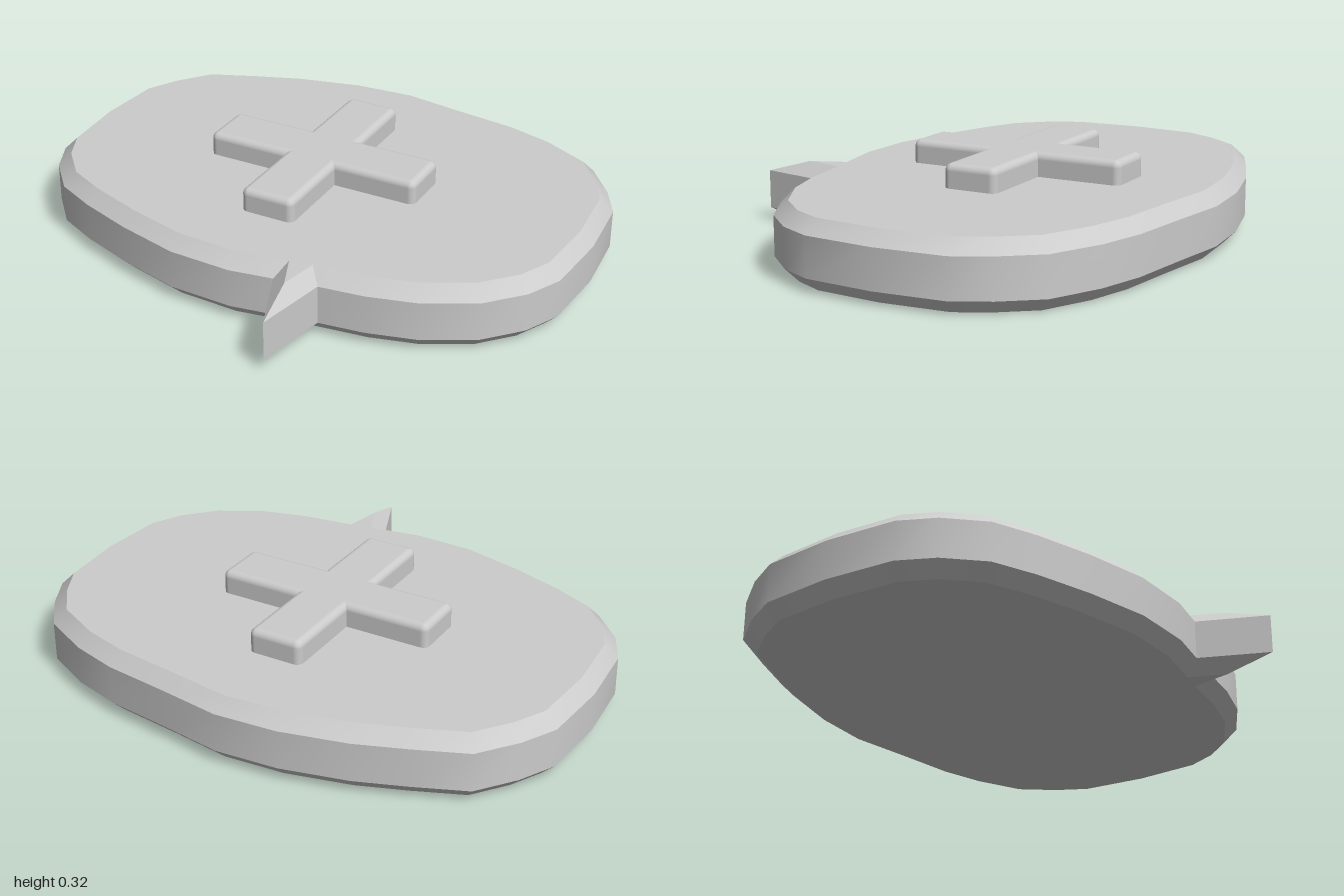
import * as THREE from 'three';
import { toCreasedNormals } from 'three/addons/utils/BufferGeometryUtils.js';
import { RoundedBoxGeometry } from 'three/addons/geometries/RoundedBoxGeometry.js';

// Outline as [x, z], running from the back over -x to the front tail and over +x.
const OUTLINE = [
  [0, -0.825], [-0.225, -0.81], [-0.46, -0.755], [-0.635, -0.69], [-0.815, -0.615],
  [-0.915, -0.485], [-0.98, -0.36], [-1, -0.105], [-0.98, 0.15], [-0.92, 0.275],
  [-0.81, 0.395], [-0.66, 0.465], [-0.46, 0.535], [-0.23, 0.595], [0, 0.605],
  [0.155, 0.58], [0.255, 0.82], [0.305, 0.555],
  [0.465, 0.535], [0.635, 0.49], [0.81, 0.395], [0.92, 0.275], [0.98, 0.15],
  [1, -0.105], [0.98, -0.36], [0.915, -0.485], [0.815, -0.615], [0.635, -0.705],
  [0.465, -0.755], [0.22, -0.79],
];

// Moves every edge of a counter-clockwise loop inwards by d, with mitred corners.
function inset(loop, d) {
  const n = loop.length;
  return loop.map((p, i) => {
    const a = p.clone().sub(loop[(i + n - 1) % n]).normalize();
    const b = loop[(i + 1) % n].clone().sub(p).normalize();
    const na = new THREE.Vector2(-a.y, a.x), nb = new THREE.Vector2(-b.y, b.x);
    return na.clone().add(nb).multiplyScalar(d / (1 + na.dot(nb))).add(p);
  });
}

// Flat slab with chamfered rims at the top and bottom.
function slabGeometry() {
  const outer = OUTLINE.map(([x, z]) => new THREE.Vector2(x, -z));
  const inner = inset(outer, 0.048);
  const rings = [[inner, 0], [outer, 0.048], [outer, 0.187], [inner, 0.235]];
  const n = outer.length;
  const positions = [], index = [];
  for (const [loop, y] of rings) for (const p of loop) positions.push(p.x, y, -p.y);
  for (let r = 0; r < 3; r++) {
    for (let i = 0; i < n; i++) {
      const a = r * n + i, b = r * n + (i + 1) % n;
      index.push(a, b, b + n, a, b + n, a + n);
    }
  }
  for (const [a, b, c] of THREE.ShapeUtils.triangulateShape(inner, [])) {
    index.push(c, b, a, a + 3 * n, b + 3 * n, c + 3 * n);
  }
  const geometry = new THREE.BufferGeometry();
  geometry.setAttribute('position', new THREE.Float32BufferAttribute(positions, 3));
  geometry.setIndex(index);
  return toCreasedNormals(geometry, THREE.MathUtils.degToRad(35));
}

export function createModel() {
  const group = new THREE.Group();
  const material = new THREE.MeshStandardMaterial({ color: 0xcccccc });

  // Speech bubble with its tail
  const bubble = new THREE.Mesh(slabGeometry(), material);
  bubble.name = 'speechBubble';
  group.add(bubble);

  // Plus sign of two crossed rounded bars, sunk into the bubble
  const plus = new THREE.Group();
  plus.name = 'plusSign';
  for (const [name, w, d] of [['crossBar', 0.815, 0.2], ['longBar', 0.2, 0.815]]) {
    const bar = new THREE.Mesh(new RoundedBoxGeometry(w, 0.2, d, 4, 0.025), material);
    bar.name = name;
    plus.add(bar);
  }
  plus.position.set(-0.023, 0.22, -0.094);
  group.add(plus);
  return group;
}
